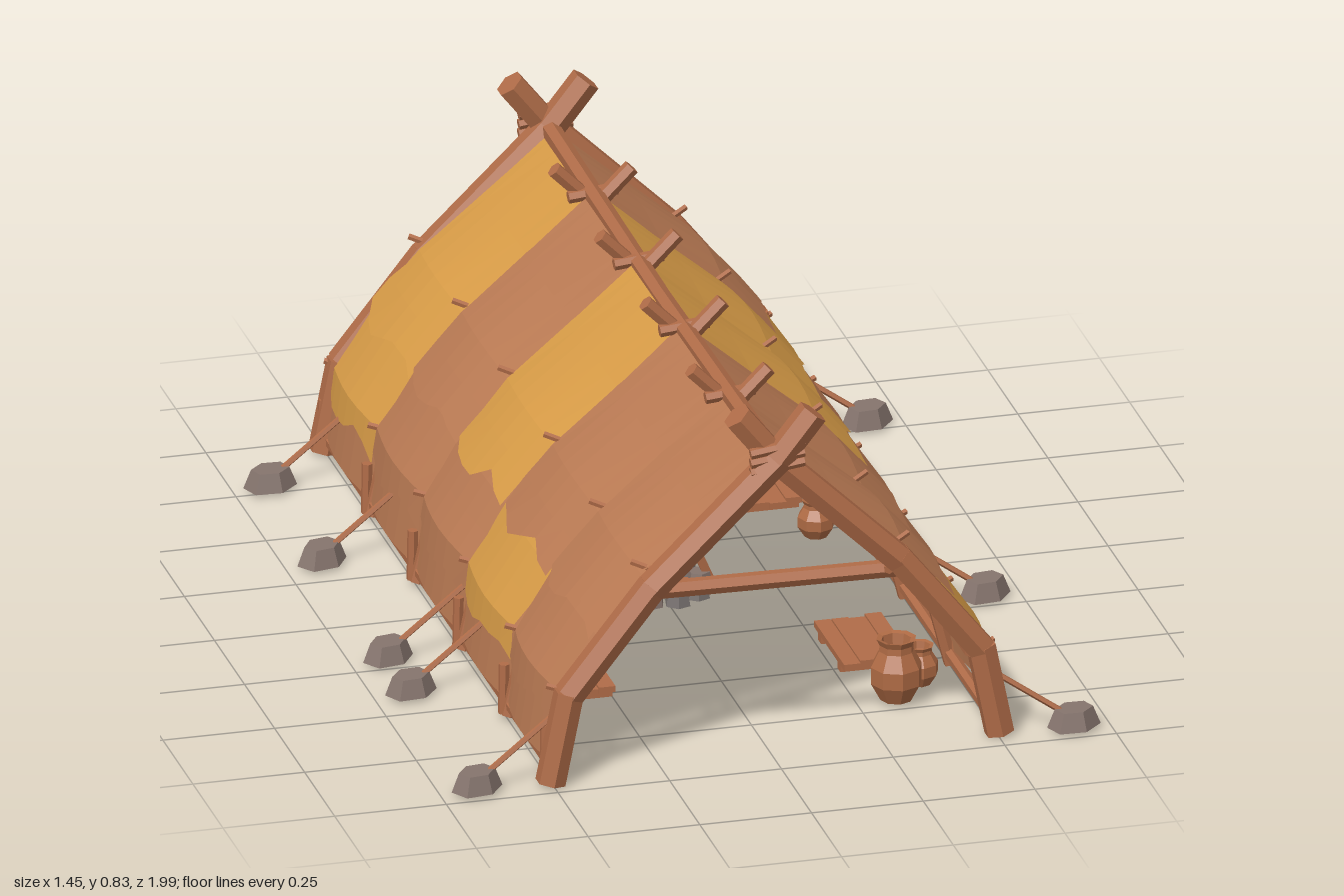
import * as THREE from 'three';

const mat = (name, color, side = THREE.FrontSide) => {
  const m = new THREE.MeshStandardMaterial({ color, flatShading: true, side });
  m.name = name;
  return m;
};

export function createModel() {
  const root = new THREE.Group();
  root.name = 'longTent';
  const wood = mat('wood', 0xb06c48);
  const hide = mat('brownHide', 0xbb7b54, THREE.DoubleSide);
  const ochre = mat('ochreHide', 0xd89c47, THREE.DoubleSide);
  const clay = mat('clay', 0xae6a44, THREE.DoubleSide);
  const stone = mat('anchorStone', 0x85746d);
  const iron = mat('darkGrey', 0x787270, THREE.DoubleSide);

  let seed = 7;
  const rnd = () => (seed = (seed * 16807) % 2147483647) / 2147483647;

  const add = (name, geo, m, x = 0, y = 0, z = 0) => {
    const mesh = new THREE.Mesh(geo, m);
    mesh.name = name;
    mesh.position.set(x, y, z);
    root.add(mesh);
    return mesh;
  };
  // straight pole between two points
  const rod = (name, a, b, r, m = wood, sides = 6) => {
    const p = new THREE.Vector3(...a), q = new THREE.Vector3(...b);
    const d = q.clone().sub(p);
    const mesh = add(name, new THREE.CylinderGeometry(r, r, d.length(), sides), m);
    mesh.position.copy(p).add(q).multiplyScalar(0.5);
    mesh.quaternion.setFromUnitVectors(new THREE.Vector3(0, 1, 0), d.normalize());
  };
  // bent pole made of overlapping straight lengths
  const bentPole = (name, pts, s, z, r) => {
    for (let i = 0; i < pts.length - 1; i++) {
      const [x0, y0] = pts[i], [x1, y1] = pts[i + 1];
      const k = i < pts.length - 2 ? (r * 0.25) / Math.hypot(x1 - x0, y1 - y0) : 0;
      rod(name, [s * x0, y0, z], [s * (x1 + (x1 - x0) * k), y1 + (y1 - y0) * k, z], r);
    }
  };

  // crossed frames: two heavy ends, four light ribs
  const endPts = [[0.505, 0.01], [0.465, 0.21], [0.282, 0.44], [0, 0.712], [-0.083, 0.817]];
  const ribPts = [[0.5, 0.015], [0.452, 0.2], [0.268, 0.427], [0, 0.685], [-0.083, 0.768]];
  const ribs = [-0.57, -0.19, 0.19, 0.57];
  for (const s of [-1, 1]) {
    for (const e of [-1, 1]) bentPole('endPost', endPts, s, e * 0.945 - s * 0.01, 0.034);
    for (const z of ribs) bentPole('rib', ribPts, s, z - s * 0.015, 0.018);
  }
  for (const e of [-1, 1]) {
    rod('crossBeam', [-0.3, 0.425, e * 0.93], [0.3, 0.418, e * 0.93], 0.02);
    for (const y of [0.7, 0.722, 0.744])
      rod('ridgeLashing', [-0.06, y - 0.008, e * 0.965], [0.06, y + 0.008, e * 0.965], 0.012);
  }
  for (const z of ribs) rod('ridgeLashing', [-0.055, 0.705, z], [0.055, 0.715, z], 0.014);

  // poles running lengthwise, the ridge sagging slightly
  for (const s of [-1, 1]) {
    rod('ridgePole', [0, 0.715, s * 0.97], [0, 0.7, 0], 0.022);
    rod('basePole', [s * 0.495, 0.04, -0.95], [s * 0.495, 0.04, 0.95], 0.014);
    rod('lowerPurlin', [s * 0.435, 0.21, -0.95], [s * 0.435, 0.21, 0.95], 0.012);
    rod('upperPurlin', [s * 0.255, 0.425, -0.95], [s * 0.255, 0.425, 0.95], 0.012);
  }

  // cover: half-width at a given height
  const prof = [[0.7, 0.012], [0.455, 0.283], [0.33, 0.393], [0.21, 0.475], [0.03, 0.502]];
  const halfWidth = (y) => {
    let i = 0;
    while (i < prof.length - 2 && y < prof[i + 1][0]) i++;
    const [y0, x0] = prof[i], [y1, x1] = prof[i + 1];
    return x0 + ((x1 - x0) * (y - y0)) / (y1 - y0);
  };
  // one hide stretched over a bay, with a ragged lower hem
  const hem = [0.7, -0.1, -1, -0.2, 0.9, 0.1, -0.8];
  const sheet = (name, s, z0, z1, rows, off, rag, m) => {
    const n = 6, pos = [], idx = [];
    rows.forEach((y, j) => {
      const fade = Math.min(1, (0.72 - y) * 4);
      for (let i = 0; i <= n; i++) {
        const u = i / n, last = j === rows.length - 1;
        const yy = y + (last ? rag * (hem[i] + (rnd() - 0.5) * 1.4) : 0);
        const puff = off * Math.max(fade, 0.4) + Math.sin(Math.PI * u) * 0.016 * fade;
        const ragZ = rag && (i === 0 || i === n) ? (rnd() - 0.5) * 0.024 : 0;
        const up = y > 0.3 ? 0.6 : 0.1;
        pos.push(s * (halfWidth(yy) + puff * (y > 0.3 ? 0.7 : 1)), yy + puff * up, z0 + (z1 - z0) * u + ragZ);
      }
    });
    const w = n + 1;
    for (let j = 0; j < rows.length - 1; j++)
      for (let i = 0; i < n; i++) {
        const a = j * w + i, b = a + 1, c = a + w, d = c + 1;
        if (s > 0) idx.push(a, b, c, b, d, c);
        else idx.push(a, c, b, b, c, d);
      }
    const g = new THREE.BufferGeometry();
    g.setAttribute('position', new THREE.Float32BufferAttribute(pos, 3));
    g.setIndex(idx);
    g.computeVertexNormals();
    add(name, g, m);
  };
  const edges = [-0.935, ...ribs, 0.915];
  const ochreUpper = { 1: [1, 2], [-1]: [0, 2] };
  const ochreLower = { 1: [0, 4], [-1]: [0, 3] };
  for (const s of [-1, 1])
    for (let b = 0; b < 5; b++) {
      const z0 = edges[b], z1 = edges[b + 1];
      sheet('lining', s, z0, z1, [0.7, 0.58, 0.455, 0.33, 0.21, 0.13, 0.045], 0, 0, hide);
      sheet('lowerHide', s, z0, z1, [0.37, 0.33, 0.27, 0.21, 0.145], 0.008, 0.015,
        ochreLower[s].includes(b) ? ochre : hide);
      sheet('upperHide', s, z0 - 0.004, z1 + 0.004, [0.7, 0.58, 0.455, 0.39, 0.325], 0.016, 0.016,
        ochreUpper[s].includes(b) ? ochre : hide);
    }

  // pegs tying the cover to the frames
  for (const s of [-1, 1])
    for (const z of edges) {
      rod('tiePeg', [s * 0.245, 0.462, z + 0.015], [s * 0.31, 0.485, z - 0.015], 0.007, wood, 5);
      rod('tiePeg', [s * 0.44, 0.2, z + 0.012], [s * 0.5, 0.215, z - 0.012], 0.007, wood, 5);
      rod('baseTie', [s * 0.507, 0.015, z], [s * 0.505, 0.13, z], 0.012);
    }

  // guy ropes weighted by stones
  const anchors = { 1: [-0.77, 0.21, 0.95], [-1]: [-0.77, -0.34, 0.21, 0.4, 0.95] };
  for (const s of [-1, 1])
    for (const z of anchors[s]) {
      rod('guyRope', [s * 0.49, 0.148, z - 0.035], [s * 0.66, 0.035, z], 0.007, wood, 5);
      const st = add('anchorStone', new THREE.CylinderGeometry(0.045, 0.063, 0.042, 6), stone, s * 0.668, 0.033, z);
      st.rotation.y = Math.PI / 6 + (rnd() - 0.5) * 0.4;
      st.scale.z = 0.75;
    }

  // cooking tripod, cauldron and hearth
  for (let i = 0; i < 3; i++) {
    const a = (i * Math.PI * 2) / 3;
    const c = Math.cos(a), d = Math.sin(a);
    rod('tripodLeg', [c * 0.115, 0.012, d * 0.115], [-c * 0.015, 0.31, -d * 0.015], 0.011);
  }
  rod('hangingCord', [0, 0.29, 0], [0, 0.195, 0], 0.003, iron, 5);
  const v = (pts) => pts.map(([x, y]) => new THREE.Vector2(x, y));
  add('cauldron', new THREE.LatheGeometry(v([[0, 0.068], [0.035, 0.075], [0.05, 0.105], [0.046, 0.13],
    [0.056, 0.148], [0.043, 0.145], [0.04, 0.11], [0, 0.08]]), 8), iron);
  add('cauldronHandle', new THREE.TorusGeometry(0.048, 0.003, 4, 10, Math.PI), iron, 0, 0.148, 0);
  for (let i = 0; i < 9; i++) {
    const a = (i * Math.PI * 2) / 9;
    const st = add('hearthStone', new THREE.CylinderGeometry(0.024, 0.03, 0.036, 6), i % 3 ? iron : stone,
      Math.cos(a) * 0.085, 0.03, Math.sin(a) * 0.085);
    st.rotation.y = i * 2;
  }
  for (let i = 0; i < 3; i++) {
    const c = Math.cos(i * 1.05) * 0.06, d = Math.sin(i * 1.05) * 0.06;
    rod('firewood', [c, 0.025, d], [-c, 0.035, -d], 0.01);
  }

  // plank beds
  for (const sx of [-1, 1])
    for (const sz of [-1, 1]) {
      const x = sx * 0.33, z = sz * 0.45;
      for (let i = 0; i < 4; i++)
        add('bedPlank', new THREE.BoxGeometry(0.037, 0.014, 0.23 + rnd() * 0.03), wood, x + (i - 1.5) * 0.038, 0.038 + (i % 2) * 0.003, z);
      for (const k of [-1, 1])
        add('bedSlat', new THREE.BoxGeometry(0.15, 0.018, 0.025), wood, x, 0.023, z + k * 0.08);
    }

  // clay pots
  const potProfile = v([[0, 0], [0.62, 0], [1, 0.28], [1, 0.55], [0.68, 0.8], [0.66, 0.9], [0.78, 1], [0.58, 0.98], [0.5, 0.8], [0, 0.7]]);
  const pots = [[0.335, 0.71, 0.057, 0.143], [0.405, 0.64, 0.042, 0.09], [-0.36, -0.75, 0.053, 0.128],
    [-0.42, -0.71, 0.041, 0.082], [0.4, -0.2, 0.041, 0.085], [-0.37, 0.19, 0.041, 0.085]];
  for (const [x, z, r, h] of pots) {
    const pot = add('clayPot', new THREE.LatheGeometry(potProfile, 8), clay, x, 0.013, z);
    pot.scale.set(r, h, r);
  }
  return root;
}
